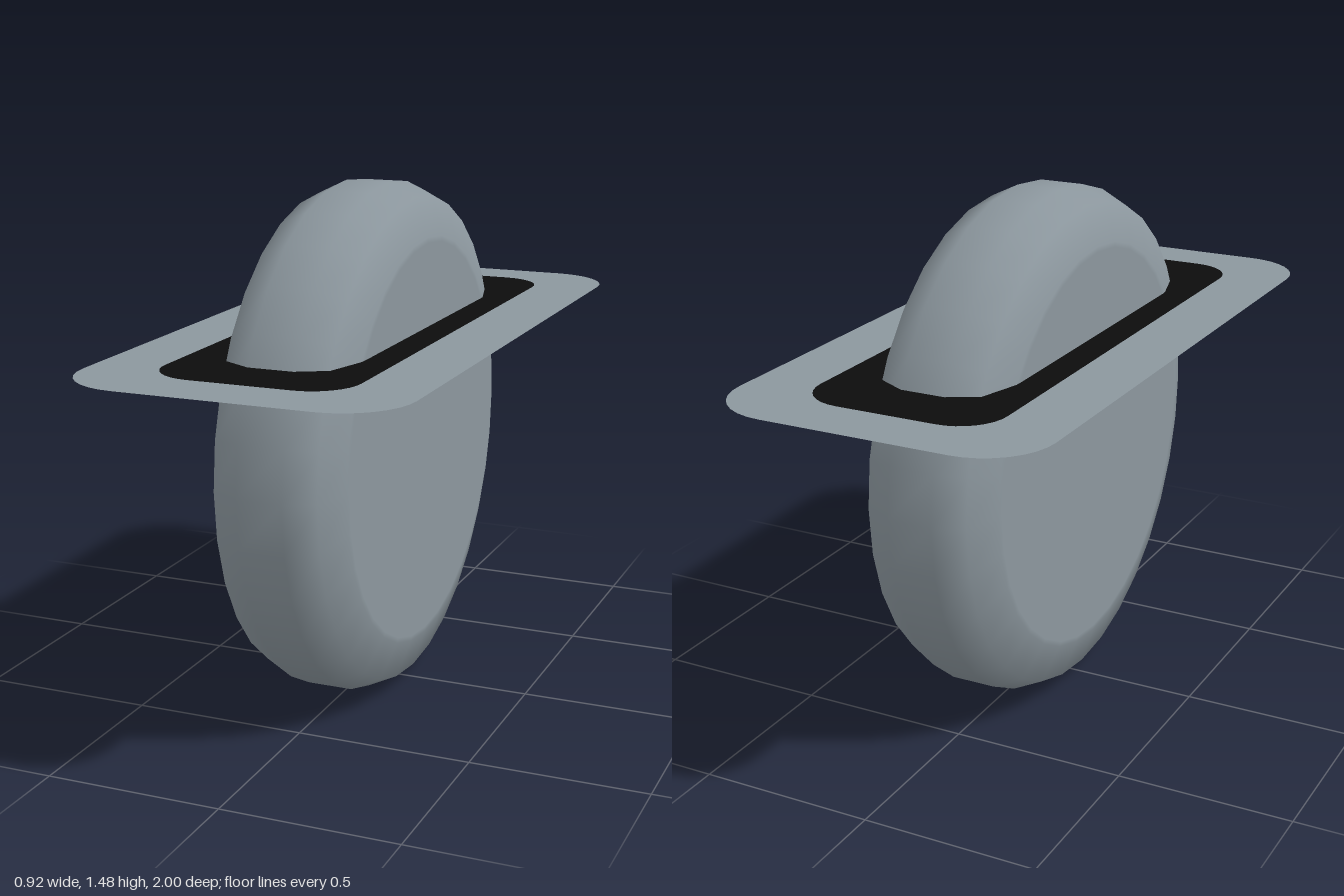
import * as THREE from 'three';

const PLATE_Y = 1.07;

// Flat rounded rectangle lying in the xz plane, facing up
function roundedPlate(halfX, halfZ, radius) {
  const s = new THREE.Shape();
  const corners = [[1, 1, 0], [-1, 1, 1], [-1, -1, 2], [1, -1, 3]];
  for (const [sx, sz, quarter] of corners) {
    const start = quarter * Math.PI / 2;
    s.absarc(sx * (halfX - radius), sz * (halfZ - radius), radius, start, start + Math.PI / 2, false);
  }
  return new THREE.ShapeGeometry(s, 4).rotateX(-Math.PI / 2);
}

export function createModel() {
  const group = new THREE.Group();
  const grey = new THREE.MeshStandardMaterial({ color: 0x8c979e, side: THREE.DoubleSide });
  grey.name = 'grey';
  const black = new THREE.MeshStandardMaterial({ color: 0x0c0c0c });
  black.name = 'black';

  const add = (name, geometry, material, y) => {
    const mesh = new THREE.Mesh(geometry, material);
    mesh.name = name;
    mesh.position.y = y;
    group.add(mesh);
  };

  // Wheel: half profile (radius, offset along the axle), mirrored
  const half = [[0, 0.185], [0.575, 0.185], [0.59, 0.184], [0.7, 0.148], [0.74, 0.065]];
  const profile = [
    ...half.map(([r, a]) => new THREE.Vector2(r, -a)),
    ...half.slice().reverse().map(([r, a]) => new THREE.Vector2(r, a)),
  ];
  add('wheel', new THREE.LatheGeometry(profile, 32).rotateZ(-Math.PI / 2), grey, 0.74);

  // Mounting plate and the dark slot around the wheel
  add('plate', roundedPlate(0.46, 1, 0.19), grey, PLATE_Y);
  add('slot', roundedPlate(0.275, 0.84, 0.13), black, PLATE_Y + 0.004);

  return group;
}
